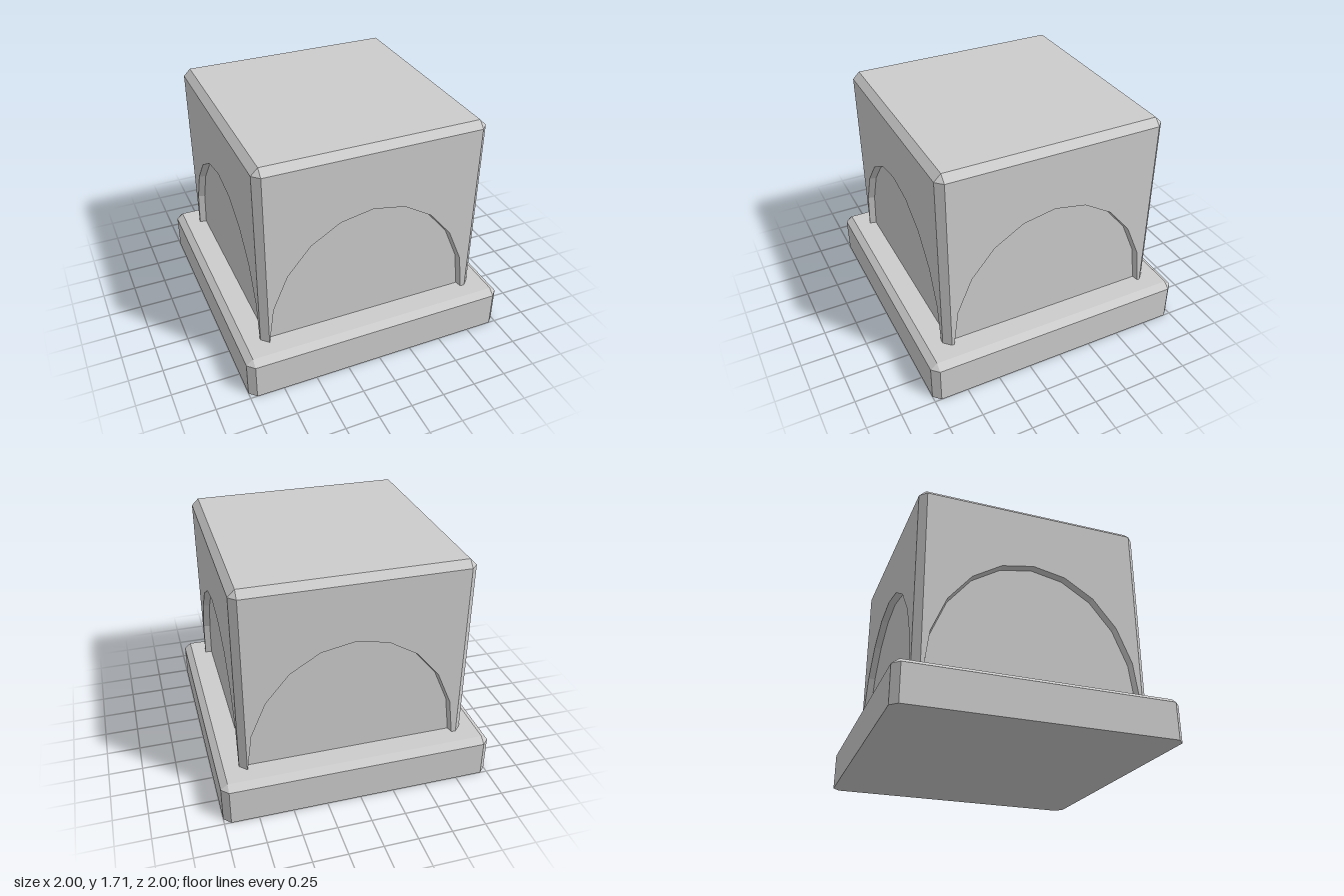
import * as THREE from 'three';
import { ConvexGeometry } from 'three/addons/geometries/ConvexGeometry.js';

const C = 0.05;        // chamfer width and recess depth
const HALF = 0.84;     // half width of the block
const INNER = HALF - C;
const LEDGE = 0.31;    // top of the base
const SHOULDER = 1.66; // where the top chamfer starts
const TOP = 1.71;

const material = new THREE.MeshStandardMaterial({ color: 0xcccccc, flatShading: true });

function add(parent, name, geometry) {
  const mesh = new THREE.Mesh(geometry, material);
  mesh.name = name;
  parent.add(mesh);
  return mesh;
}

// Slab with cut corners, straight sides and a chamfered top edge
function chamferedSlab(half, y0, y1, y2) {
  const points = [];
  const inner = half - C;
  for (const sx of [-1, 1]) for (const sz of [-1, 1]) {
    for (const y of [y0, y1]) {
      points.push(new THREE.Vector3(sx * half, y, sz * inner));
      points.push(new THREE.Vector3(sx * inner, y, sz * half));
    }
    points.push(new THREE.Vector3(sx * inner, y2, sz * inner));
  }
  return new ConvexGeometry(points);
}

// Face plate with a faceted arch cut out; the cut narrows towards the back
function archPlate(cx) {
  const rx = 0.772, ry = 0.92, segments = 10;
  const shape = new THREE.Shape();
  shape.moveTo(-INNER, LEDGE);
  for (let i = 0; i <= segments; i++) {
    const a = Math.PI * (1 - i / segments);
    shape.lineTo(cx + rx * Math.cos(a), LEDGE + ry * Math.sin(a));
  }
  shape.lineTo(INNER, LEDGE);
  shape.lineTo(INNER, SHOULDER);
  shape.lineTo(-INNER, SHOULDER);
  const g = new THREE.ExtrudeGeometry(shape, { depth: C, bevelEnabled: false });
  const p = g.attributes.position;
  for (let i = 0; i < p.count; i++) {
    const x = p.getX(i), y = p.getY(i);
    if (p.getZ(i) < 0.001 && Math.abs(x) < INNER - 0.001) {
      p.setX(i, cx + (x - cx) * 0.987);
      p.setY(i, LEDGE + (y - LEDGE) * 0.99);
    }
  }
  g.translate(0, 0, INNER);
  g.computeVertexNormals();
  return g;
}

// Triangular post that forms a chamfered upright edge
function cornerPost() {
  const points = [];
  for (const y of [LEDGE, SHOULDER]) {
    points.push(new THREE.Vector3(INNER, y, INNER));
    points.push(new THREE.Vector3(HALF, y, INNER));
    points.push(new THREE.Vector3(INNER, y, HALF));
  }
  return new ConvexGeometry(points);
}

export function createModel() {
  const model = new THREE.Group();
  model.name = 'archedPedestal';

  add(model, 'base', chamferedSlab(1, 0, 0.27, LEDGE));

  // Core supplies the recessed panels behind the arches
  const core = new THREE.BoxGeometry(2 * INNER, SHOULDER - LEDGE, 2 * INNER);
  core.translate(0, (SHOULDER + LEDGE) / 2, 0);
  add(model, 'recessedPanels', core);

  // Four arched faces and corner posts; front and back arches sit slightly off centre
  const centred = archPlate(0), shifted = archPlate(-0.015), post = cornerPost();
  ['front', 'left', 'back', 'right'].forEach((side, i) => {
    const group = new THREE.Group();
    group.name = side + 'Side';
    group.rotation.y = i * Math.PI / 2;
    add(group, 'archFace', i % 2 ? centred : shifted);
    add(group, 'cornerPost', post);
    model.add(group);
  });

  add(model, 'topCap', chamferedSlab(HALF, SHOULDER, SHOULDER, TOP));
  return model;
}
